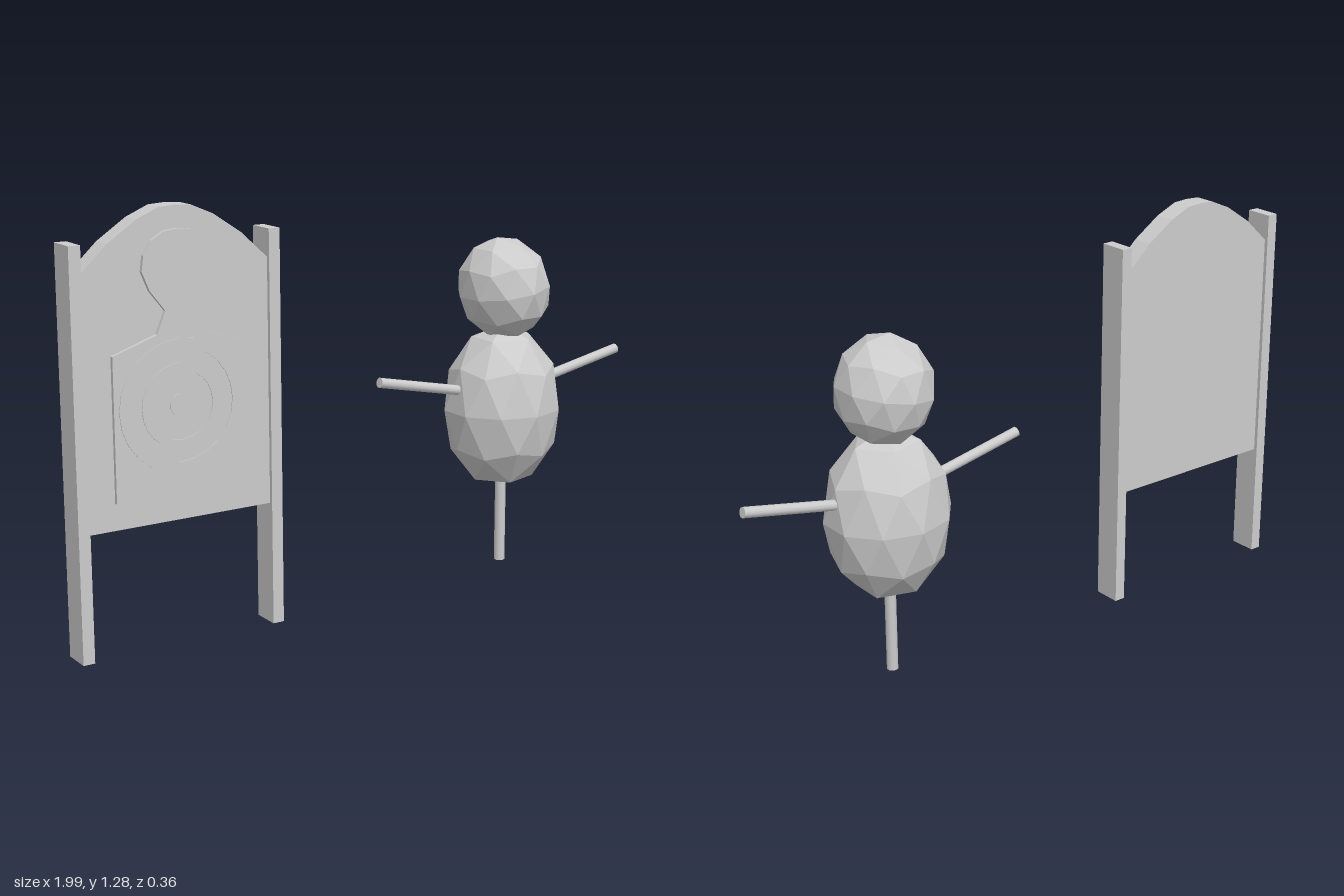
import * as THREE from 'three';

export function createModel() {
  const model = new THREE.Group();
  const grey = new THREE.MeshStandardMaterial({ color: 0xcccccc });
  grey.name = 'plain grey';

  function add(parent, name, geometry, x = 0, y = 0, z = 0) {
    const mesh = new THREE.Mesh(geometry, grey);
    mesh.name = name;
    mesh.position.set(x, y, z);
    parent.add(mesh);
    return mesh;
  }

  // Extrude an outline given by its right half, bottom to top, mirrored in x
  function mirroredPlate(half, depth) {
    const left = half.filter(([x]) => x > 0).reverse().map(([x, y]) => [-x, y]);
    const shape = new THREE.Shape([...half, ...left].map(([x, y]) => new THREE.Vector2(x, y)));
    return new THREE.ExtrudeGeometry(shape, { depth, bevelEnabled: false });
  }

  // Flat annulus with a little thickness
  function ringPlate(outer, inner, depth) {
    const shape = new THREE.Shape().absarc(0, 0, outer, 0, Math.PI * 2, false);
    if (inner > 0) shape.holes.push(new THREE.Path().absarc(0, 0, inner, 0, Math.PI * 2, true));
    return new THREE.ExtrudeGeometry(shape, { depth, bevelEnabled: false, curveSegments: 12 });
  }

  // ---- Target stand ----
  const stand = new THREE.Group();
  stand.name = 'targetStand';
  stand.position.x = -0.67;
  model.add(stand);

  for (const side of [-1, 1]) {
    add(stand, side > 0 ? 'leftPost' : 'rightPost', new THREE.BoxGeometry(0.036, 1.195, 0.09), side * 0.312, 0.5975, 0);
  }

  // Board with an arched top
  const board = [[0.296, 0.375], [0.296, 1.11], [0.21, 1.19], [0.12, 1.25], [0.05, 1.28], [0, 1.283]];
  add(stand, 'board', mirroredPlate(board, 0.066), 0, 0, -0.033);

  // Raised head-and-shoulders figure
  const figure = [
    [0.21, 0.455], [0.21, 0.878], [0.07, 0.925], [0.043, 0.99], [0.09, 1.05],
    [0.113, 1.105], [0.107, 1.15], [0.08, 1.19], [0.043, 1.213], [0, 1.218],
  ];
  add(stand, 'targetFigure', mirroredPlate(figure, 0.012), 0, 0, 0.033);

  // Target rings on the chest
  for (const [outer, inner] of [[0.195, 0.165], [0.125, 0.1], [0.035, 0]]) {
    add(stand, inner ? 'targetRing' : 'bullseye', ringPlate(outer, inner, 0.003), 0, 0.715, 0.0445);
  }

  // ---- Straw dummy ----
  const dummy = new THREE.Group();
  dummy.name = 'dummy';
  dummy.position.x = 0.513;
  model.add(dummy);

  // Faceted ball with a corner at the top, scaled per axis
  function facetedBall(rx, ry, rz, lowest = -ry) {
    const g = new THREE.IcosahedronGeometry(1, 1);
    g.rotateZ(-Math.atan(2 / (1 + Math.sqrt(5))));
    g.scale(rx, ry, rz);
    const p = g.attributes.position;
    for (let i = 0; i < p.count; i++) p.setY(i, Math.max(p.getY(i), lowest));
    g.computeVertexNormals();
    return g;
  }

  add(dummy, 'body', facetedBall(0.197, 0.27, 0.182, -0.23), 0, 0.545, 0);
  add(dummy, 'head', facetedBall(0.146, 0.166, 0.157), 0, 0.932, 0).rotation.z = 0.17;

  // Round stick between two points
  function stick(name, from, to, radius) {
    const a = new THREE.Vector3(...from);
    const b = new THREE.Vector3(...to);
    const dir = b.clone().sub(a);
    const mesh = add(dummy, name, new THREE.CylinderGeometry(radius, radius, dir.length(), 10));
    mesh.position.copy(a).add(b).multiplyScalar(0.5);
    mesh.quaternion.setFromUnitVectors(new THREE.Vector3(0, 1, 0), dir.normalize());
  }

  stick('leg', [0, 0.03, 0], [0, 0.42, 0], 0.018);
  for (const side of [-1, 1]) {
    stick(side > 0 ? 'leftArm' : 'rightArm', [side * 0.1, 0.605, 0], [side * 0.476, 0.682, 0], 0.016);
  }

  return model;
}
